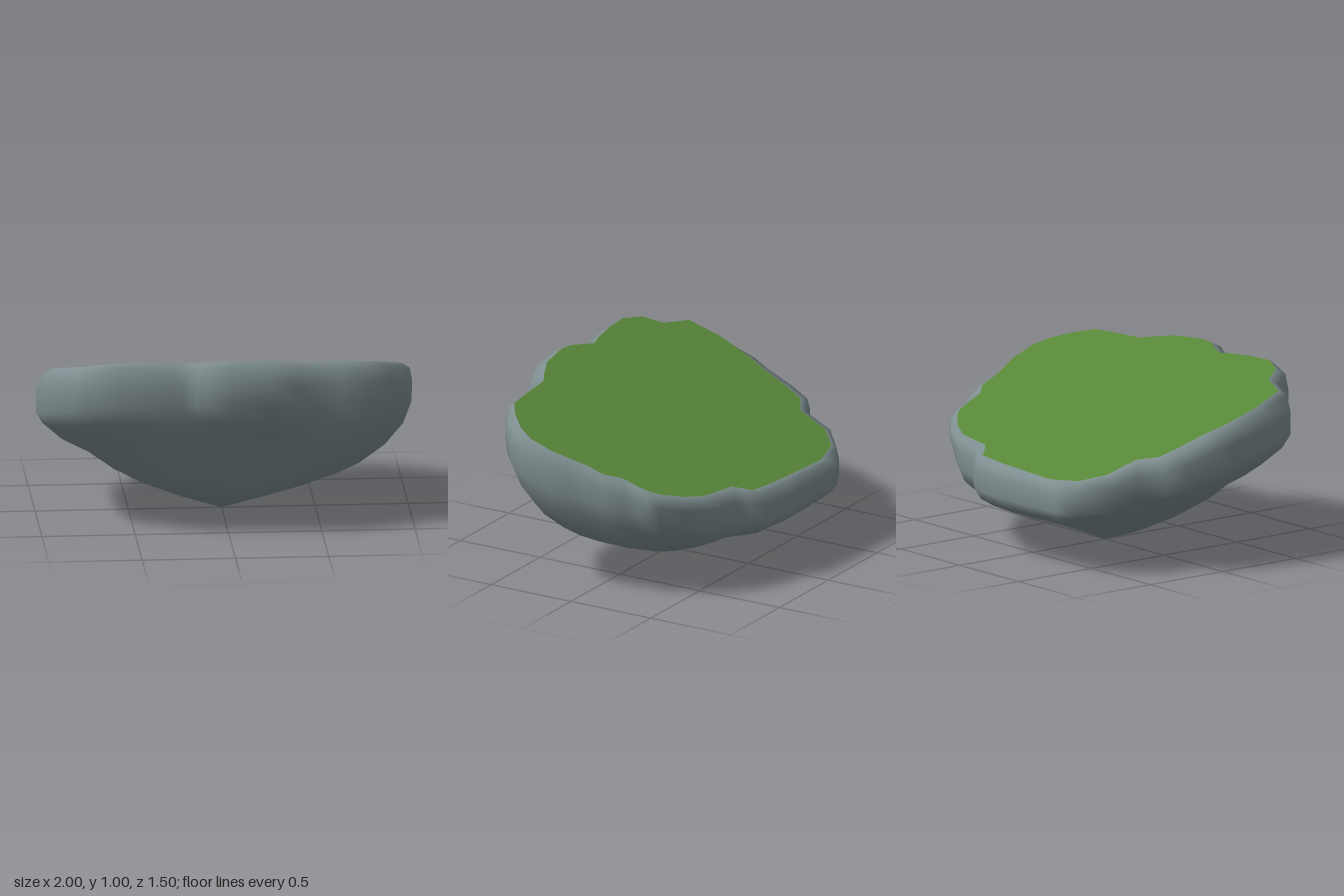
import * as THREE from 'three';

// Outline of the stone rim as [x, z], from the front round by +x
const RIM = [
  [0, .747], [.2, .725], [.37, .66], [.45, .595], [.6, .58], [.76, .56], [.87, .49], [.96, .4], [1, .3], [.995, .15],
  [.965, .05], [.93, -.03], [.92, -.15], [.87, -.25], [.825, -.32], [.835, -.37], [.8, -.43], [.7, -.52], [.58, -.58], [.48, -.62],
  [.34, -.63], [.28, -.68], [.2, -.735], [0, -.75], [-.25, -.75], [-.5, -.75], [-.6, -.7], [-.75, -.57], [-.78, -.4], [-.91, -.33],
  [-.955, -.2], [-.97, -.05], [-1, .06], [-1, .3], [-.98, .48], [-.83, .55], [-.77, .64], [-.6, .695], [-.45, .7], [-.32, .695],
  [-.25, .68], [-.19, .69], [-.12, .73],
];
// Matching outline of the grass
const GRASS = [
  [0, .67], [.2, .64], [.33, .58], [.38, .55], [.58, .535], [.73, .52], [.82, .46], [.91, .37], [.955, .28], [.95, .15],
  [.91, .03], [.89, -.03], [.88, -.13], [.81, -.21], [.8, -.3], [.785, -.36], [.75, -.41], [.65, -.49], [.54, -.545], [.45, -.56],
  [.3, -.58], [.26, -.62], [.22, -.665], [0, -.685], [-.2, -.695], [-.4, -.705], [-.59, -.66], [-.7, -.55], [-.73, -.38], [-.84, -.31],
  [-.87, -.2], [-.895, -.05], [-.93, .06], [-.955, .26], [-.93, .44], [-.77, .5], [-.71, .6], [-.59, .65], [-.43, .64], [-.3, .62],
  [-.22, .6], [-.15, .63], [-.08, .66],
];
// Stone below the rim: radius, softening of notches, height share at front, +x, back and -x
const LAYERS = [
  [1, 0, .88, .9, .86, .88],
  [1, 0, .78, .76, .66, .73],
  [.965, .1, .68, .61, .56, .65],
  [.87, .25, .585, .46, .475, .54],
  [.73, .35, .45, .33, .41, .445],
  [.6, .45, .29, .255, .345, .325],
  [.45, .6, .17, .185, .265, .22],
  [.25, .8, .085, .1, .15, .11],
];
// Hollows in the stone: x, y, z, size, depth
const HOLLOWS = [
  [.22, .48, .55, .18, .08],
  [-.62, .6, .6, .17, .035],
  [.85, .52, .45, .17, .04],
  [.68, .31, -.46, .16, .08],
  [-.76, .33, -.36, .14, .05],
];

const N = RIM.length;
const slopeY = (z) => 0.757 + 0.363 * z;
const mix = THREE.MathUtils.lerp;

// Average of neighbouring rim points, widened to keep the girth
function softened(i) {
  let x = 0, z = 0;
  for (let k = -3; k <= 3; k++) {
    const p = RIM[(i + k + N) % N];
    x += p[0] * 1.04 / 7;
    z += p[1] * 1.04 / 7;
  }
  return [x, z];
}

function stoneGeometry() {
  const positions = [], index = [];
  const rows = LAYERS.length + 2;
  // Sharp top edge, then the rounded shoulder
  GRASS.forEach(([x, z]) => positions.push(x, slopeY(z), z));
  GRASS.forEach(([x, z], i) => positions.push(
    mix(x, RIM[i][0], .7), slopeY(z) * .975, mix(z, RIM[i][1], .7)));
  // Body narrowing to the tip, with a different slope on each side
  for (const [r, soft, front, right, back, left] of LAYERS) {
    for (let i = 0; i < N; i++) {
      const s = softened(i);
      const x = mix(RIM[i][0], s[0], soft) * r;
      const z = mix(RIM[i][1], s[1], soft) * r;
      const share = mix(x > 0 ? right : left, z > 0 ? front : back, z * z / (x * x + z * z));
      const y = slopeY(GRASS[i][1]) * share;
      let inward = 0;
      for (const [hx, hy, hz, size, depth] of HOLLOWS) {
        const d = Math.hypot(x - hx, y - hy, z - hz) / size;
        inward += depth * Math.exp(-d * d);
      }
      const k = 1 - inward / Math.hypot(x, z);
      positions.push(x * k, y, z * k);
    }
  }
  positions.push(0, 0, 0);
  const tip = rows * N;
  for (let i = 0; i < N; i++) {
    const j = (i + 1) % N;
    for (let row = 0; row < rows - 1; row++) {
      const a = row * N, b = a + N;
      index.push(a + i, b + i, b + j, a + i, b + j, a + j);
    }
    index.push(tip - N + i, tip, tip - N + j);
  }
  const g = new THREE.BufferGeometry();
  g.setAttribute('position', new THREE.Float32BufferAttribute(positions, 3));
  g.setIndex(index);
  g.computeVertexNormals();
  return g;
}

function grassGeometry() {
  const shape = new THREE.Shape(GRASS.map(([x, z]) => new THREE.Vector2(x, -z)));
  const g = new THREE.ShapeGeometry(shape).rotateX(-Math.PI / 2);
  const p = g.attributes.position;
  for (let i = 0; i < p.count; i++) p.setY(i, slopeY(p.getZ(i)));
  g.computeVertexNormals();
  return g;
}

export function createModel() {
  const stone = new THREE.MeshStandardMaterial({ color: 0x7f8e90 });
  stone.name = 'grey stone';
  const grass = new THREE.MeshStandardMaterial({ color: 0x588839 });
  grass.name = 'green grass';

  const group = new THREE.Group();
  group.name = 'floatingIsland';
  const body = new THREE.Mesh(stoneGeometry(), stone);
  body.name = 'rockBody';
  const top = new THREE.Mesh(grassGeometry(), grass);
  top.name = 'grassTop';
  group.add(body, top);
  return group;
}
